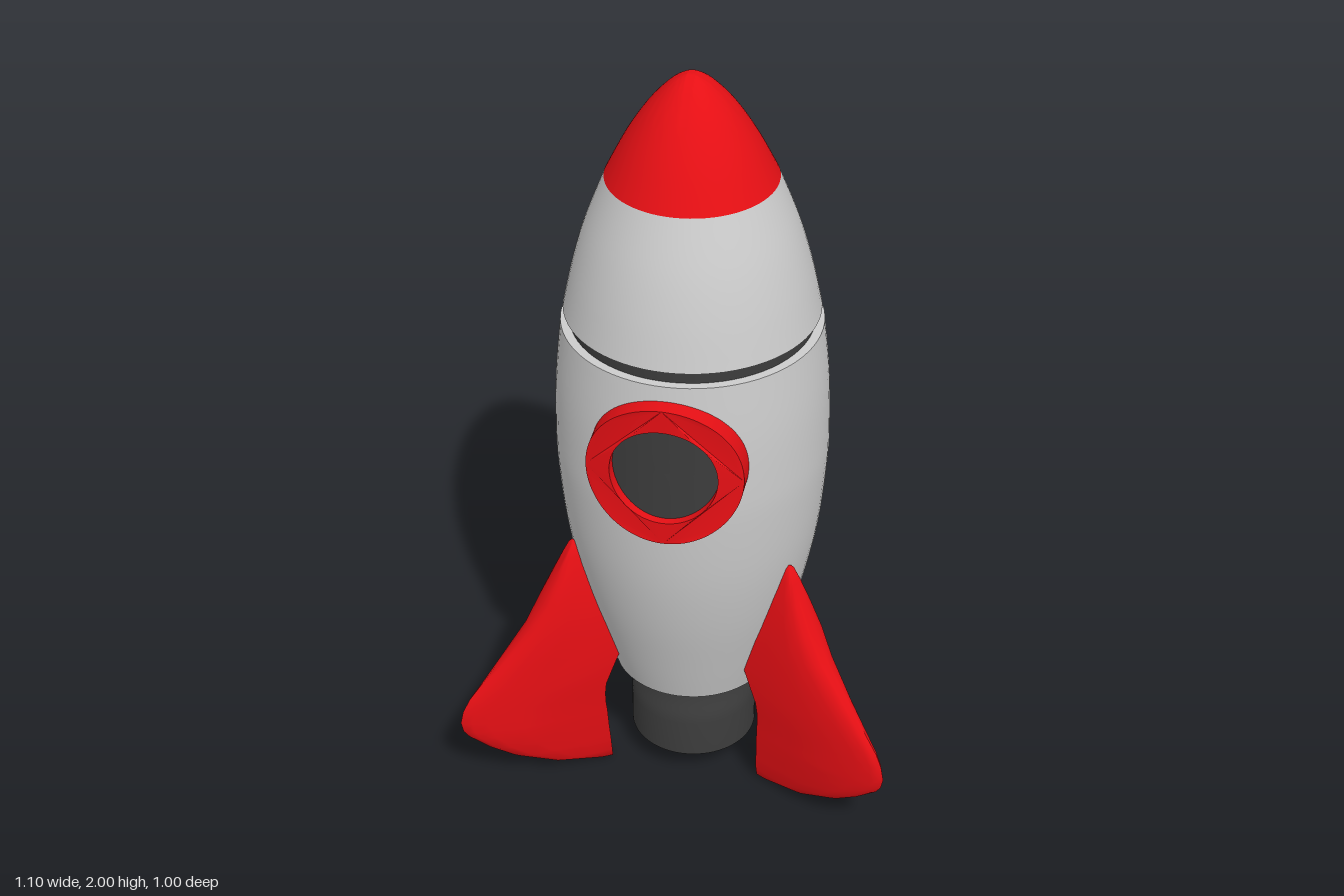
import * as THREE from 'three';
import { toCreasedNormals } from 'three/addons/utils/BufferGeometryUtils.js';

const AXIS_Z = 0.137;
const paint = (color) => new THREE.MeshStandardMaterial({ color });
const grey = paint(0xcccccc), red = paint(0xe60f14), dark = paint(0x3c3c3c);

function add(parent, name, geometry, material) {
  const mesh = new THREE.Mesh(geometry, material);
  mesh.name = name;
  parent.add(mesh);
  return mesh;
}

const vectors = (pairs) => pairs.map(([r, y]) => new THREE.Vector2(r, y));
const smooth = (pairs, n = 20) => new THREE.SplineCurve(vectors(pairs)).getPoints(n);
const turned = (points) => toCreasedNormals(new THREE.LatheGeometry(points, 72), 0.6);

// Fin along +x: horizontal sections [y, inner radius, outer radius, half thickness]
function finGeometry() {
  const rows = [
    [0.003, 0.231, 0.235, 0.002], [0.012, 0.231, 0.27, 0.011], [0.04, 0.235, 0.396, 0.02],
    [0.09, 0.24, 0.502, 0.027], [0.135, 0.245, 0.566, 0.032], [0.177, 0.249, 0.613, 0.037],
    [0.2, 0.251, 0.628, 0.039], [0.23, 0.255, 0.634, 0.042], [0.265, 0.257, 0.626, 0.046],
    [0.3, 0.255, 0.608, 0.05], [0.345, 0.24, 0.572, 0.054], [0.41, 0.215, 0.522, 0.056],
    [0.505, 0.22, 0.449, 0.054], [0.58, 0.24, 0.408, 0.046], [0.655, 0.265, 0.37, 0.034],
    [0.71, 0.285, 0.343, 0.021], [0.742, 0.295, 0.327, 0.011], [0.752, 0.308, 0.318, 0.002],
  ];
  // Fraction along the section, share of the thickness there
  const side = [[0, 1], [0.3, 1], [0.6, 1], [0.82, 0.95], [0.93, 0.75], [0.98, 0.45], [1, 0]];
  const loop = [...side.map(([f, k]) => [f, k]),
    ...side.slice(0, -1).reverse().map(([f, k]) => [f, -k])];
  const n = loop.length, position = [], index = [];
  for (const [y, inner, outer, half] of rows) {
    for (const [f, k] of loop) {
      const r = inner + (outer - inner) * f;
      const taper = 0.055 - (r - 0.345) * 0.135; // thinner toward the tip
      position.push(r, y, k * Math.min(half, taper));
    }
  }
  for (let j = 0; j < rows.length - 1; j++) {
    for (let i = 0; i < n; i++) {
      const a = j * n + i, b = j * n + (i + 1) % n;
      index.push(a, b, b + n, a, b + n, a + n);
    }
  }
  const geometry = new THREE.BufferGeometry();
  geometry.setAttribute('position', new THREE.Float32BufferAttribute(position, 3));
  geometry.setIndex(index);
  return toCreasedNormals(geometry, 0.8);
}

// Shift the z of every vertex by a rule in x
function bend(geometry, rule) {
  const p = geometry.attributes.position;
  for (let i = 0; i < p.count; i++) p.setZ(i, rule(p.getX(i), p.getZ(i)));
  geometry.computeVertexNormals();
  return geometry;
}

export function createModel() {
  const model = new THREE.Group();
  model.name = 'rocket';
  const rocket = new THREE.Group();
  rocket.name = 'hullAndFins';
  rocket.position.z = AXIS_Z;
  model.add(rocket);

  // Lower hull, closed at the bottom and stepped in at the top
  add(rocket, 'lowerHull', turned([
    ...vectors([[0, 0.32]]),
    ...smooth([[0.205, 0.32], [0.238, 0.43], [0.285, 0.6], [0.318, 0.77],
      [0.335, 0.95], [0.337, 1.06], [0.332, 1.2], [0.317, 1.35]], 28),
    ...vectors([[0.28, 1.35]]),
  ]), grey);

  // Dark groove between the hull sections
  add(rocket, 'grooveBand', turned(vectors([[0.295, 1.34], [0.295, 1.395]])), dark);
  add(rocket, 'grooveUnderside', turned(vectors([[0.28, 1.385], [0.31, 1.385]])), red);

  // Upper hull and nose cone
  add(rocket, 'upperHull', turned(smooth([[0.31, 1.385], [0.285, 1.5], [0.253, 1.61], [0.205, 1.735]])), grey);
  add(rocket, 'noseCone', turned(smooth([[0.205, 1.735], [0.157, 1.83], [0.106, 1.91],
    [0.056, 1.967], [0.02, 1.993], [0, 2]])), red);

  // Engine nozzle with a recess underneath
  add(rocket, 'engineNozzle', turned([
    ...vectors([[0, 0.15], [0.05, 0.14], [0.08, 0.085], [0.163, 0.085]]),
    ...smooth([[0.163, 0.19], [0.16, 0.215], [0.148, 0.265], [0.143, 0.33]], 10),
  ]), dark);

  // Three fins, 120 degrees apart
  const fin = finGeometry();
  [['backFin', 90], ['rightFin', 210], ['leftFin', 330]].forEach(([name, degrees]) => {
    add(rocket, name, fin, red).rotation.y = THREE.MathUtils.degToRad(degrees);
  });

  // Round window: frame curved with the hull, glass set slightly back
  const porthole = new THREE.Group();
  porthole.name = 'porthole';
  porthole.position.y = 1.122;
  rocket.add(porthole);

  const ring = new THREE.Shape().absarc(0, 0, 0.19, 0, Math.PI * 2);
  ring.holes.push(new THREE.Path().absarc(0, 0, 0.13, 0, Math.PI * 2, true));
  const frame = new THREE.ExtrudeGeometry(ring, { depth: 0.13, bevelEnabled: false, curveSegments: 64 });
  add(porthole, 'portholeFrame',
    toCreasedNormals(bend(frame, (x, z) => z + 0.233 - 0.75 * x * x), 0.6), red);

  const glass = new THREE.RingGeometry(0, 0.133, 64, 6);
  add(porthole, 'portholeGlass', bend(glass, (x) => Math.sqrt(0.342 ** 2 - x * x)), dark);

  return model;
}
